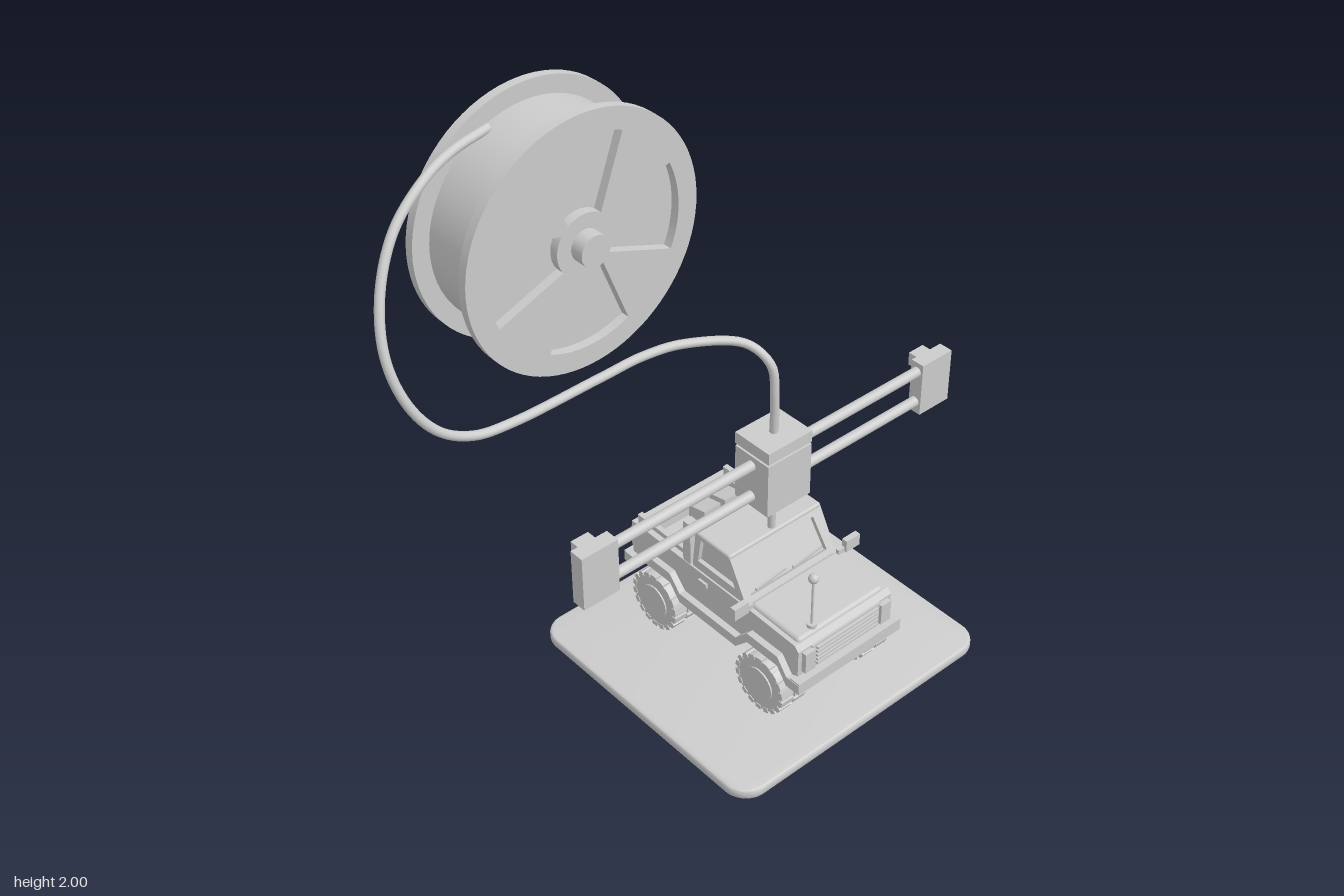
import * as THREE from 'three';
import { RoundedBoxGeometry } from 'three/addons/geometries/RoundedBoxGeometry.js';
import { toCreasedNormals } from 'three/addons/utils/BufferGeometryUtils.js';

const material = new THREE.MeshStandardMaterial({ color: 0xcccccc });
const ZC = -0.19; // centre line of the truck and print head

function add(parent, name, geometry, x = 0, y = 0, z = 0) {
  const mesh = new THREE.Mesh(geometry, material);
  mesh.name = name;
  mesh.position.set(x, y, z);
  parent.add(mesh);
  return mesh;
}

// Box given by its limits on each axis
function box(parent, name, x0, x1, y0, y1, z0, z1) {
  return add(parent, name, new THREE.BoxGeometry(x1 - x0, y1 - y0, z1 - z0),
    (x0 + x1) / 2, (y0 + y1) / 2, (z0 + z1) / 2);
}

// Cylinder along an axis
function rod(parent, name, axis, r, length, x, y, z, sides = 24, rTop = r) {
  const g = new THREE.CylinderGeometry(rTop, r, length, sides);
  if (axis === 'x') g.rotateZ(Math.PI / 2);
  if (axis === 'z') g.rotateX(Math.PI / 2);
  return add(parent, name, g, x, y, z);
}

const polygon = (points) => points.map(([x, y]) => new THREE.Vector2(x, y));

function plate(points, depth, holes = [], curveSegments = 12) {
  const shape = points instanceof THREE.Shape ? points : new THREE.Shape(polygon(points));
  shape.holes = holes.map((h) => (h instanceof THREE.Path ? h : new THREE.Path(polygon(h))));
  return new THREE.ExtrudeGeometry(shape, { depth, bevelEnabled: false, curveSegments });
}

function roundedRect(w, h, r) {
  const s = new THREE.Shape();
  s.absarc(w / 2 - r, h / 2 - r, r, 0, Math.PI / 2);
  s.absarc(r - w / 2, h / 2 - r, r, Math.PI / 2, Math.PI);
  s.absarc(r - w / 2, r - h / 2, r, Math.PI, Math.PI * 1.5);
  s.absarc(w / 2 - r, r - h / 2, r, Math.PI * 1.5, Math.PI * 2);
  return s;
}

function makeBase() {
  const g = new THREE.ExtrudeGeometry(roundedRect(0.935, 0.985, 0.07),
    { depth: 0.015, bevelSize: 0.01, bevelThickness: 0.01, bevelSegments: 3 });
  g.rotateX(-Math.PI / 2);
  const mesh = new THREE.Mesh(toCreasedNormals(g, 0.6), material);
  mesh.name = 'basePlate';
  mesh.position.set(-0.002, 0.01, -0.198);
  return mesh;
}

function makeWheel(x, side) {
  const wheel = new THREE.Group();
  wheel.name = 'wheel';
  wheel.position.set(x, 0.145, ZC + side * 0.173);
  rod(wheel, 'tyre', 'z', 0.096, 0.094, 0, 0, 0, 32);
  rod(wheel, 'rim', 'z', 0.057, 0.104, 0, 0, 0, 24);
  // Tread blocks, the two rows staggered
  for (let i = 0; i < 36; i++) {
    const a = (i / 36) * Math.PI * 2;
    const lug = add(wheel, 'treadBlock', new THREE.BoxGeometry(0.016, 0.021, 0.047),
      Math.cos(a) * 0.094, Math.sin(a) * 0.094, i % 2 ? 0.026 : -0.026);
    lug.rotation.z = a;
  }
  return wheel;
}

function makeTruck() {
  const truck = new THREE.Group();
  truck.name = 'pickupTruck';
  truck.position.z = ZC;
  const W = 0.19; // half width

  // Lower body with angular wheel arches
  const sill = [[-0.39, 0.21], [-0.335, 0.21], [-0.3, 0.262], [-0.175, 0.262], [-0.13, 0.21],
    [0.125, 0.21], [0.175, 0.262], [0.305, 0.262], [0.345, 0.21], [0.395, 0.21]];
  const inner = sill.map(([x, y]) => [Math.max(-0.375, Math.min(0.37, x)), y + 0.01]);
  add(truck, 'lowerBody', plate([...inner, [0.37, 0.295], [-0.375, 0.295]], 2 * W), 0, 0, -W);
  add(truck, 'hoodAndDoors', plate([[-0.1, 0.29], [0.37, 0.29], [0.37, 0.345], [0.355, 0.362],
    [0.14, 0.368], [-0.1, 0.368]], 2 * W), 0, 0, -W);
  const hood = add(truck, 'hoodPanel', new RoundedBoxGeometry(0.21, 0.03, 0.35, 3, 0.014), 0.25, 0.362, 0);
  hood.rotation.z = -0.02;
  const band = [...sill, ...sill.slice().reverse().map(([x, y]) => [x, y + 0.035])];
  for (const s of [-1, 1]) {
    add(truck, 'fenderTrim', plate(band, 0.025), 0, 0, s > 0 ? W - 0.003 : -W - 0.022);
    // Bed sides, rails and details repeated on both flanks
    const z = s * (W - 0.014);
    box(truck, 'bedSide', -0.375, -0.1, 0.29, 0.368, z - 0.014, z + 0.014);
    box(truck, 'bedRail', -0.355, -0.12, 0.388, 0.405, z - 0.009, z + 0.009);
    for (const x of [-0.345, -0.13]) box(truck, 'railPost', x - 0.008, x + 0.008, 0.36, 0.39, z - 0.008, z + 0.008);
    box(truck, 'rollBarPost', -0.138, -0.105, 0.36, 0.52, z - 0.012, z + 0.012);
    box(truck, 'doorHandle', -0.06, -0.024, 0.328, 0.344, s * W - 0.008, s * W + 0.008);
    box(truck, 'tailLight', -0.387, -0.37, 0.26, 0.34, s * 0.165 - 0.02, s * 0.165 + 0.02);
    box(truck, 'headlight', 0.36, 0.387, 0.265, 0.338, s * 0.155 - 0.02, s * 0.155 + 0.02);
    box(truck, 'mirrorArm', 0.15, 0.162, 0.365, 0.385, s * 0.195 - 0.02, s * 0.195 + 0.02);
    box(truck, 'mirror', 0.15, 0.17, 0.37, 0.412, s * 0.228 - 0.028, s * 0.228 + 0.028);
    for (const x of [-0.24, 0.24]) truck.add(makeWheelLocal(x, s));
  }
  box(truck, 'tailgate', -0.378, -0.345, 0.29, 0.368, -W, W);
  box(truck, 'bedFrontWall', -0.14, -0.1, 0.29, 0.368, -W, W);
  for (const x of [-0.24, 0.24]) rod(truck, 'axle', 'z', 0.018, 0.35, x, 0.145, 0, 12);
  box(truck, 'chassis', -0.36, 0.35, 0.185, 0.23, -0.08, 0.08);

  // Cab: inset core behind framed windows
  const cab = [[-0.1, 0.36], [0.142, 0.36], [0.065, 0.505], [-0.085, 0.505]];
  const sideWindow = [[-0.075, 0.4], [0.09, 0.4], [0.05, 0.488], [-0.062, 0.488]];
  add(truck, 'cabGlass', plate([[-0.085, 0.36], [0.122, 0.36], [0.05, 0.495], [-0.073, 0.495]], 0.34), 0, 0, -0.17);
  for (const s of [-1, 1]) add(truck, 'cabSide', plate(cab, 0.016, [sideWindow]), 0, 0, s > 0 ? 0.168 : -0.184);
  add(truck, 'roof', new RoundedBoxGeometry(0.16, 0.022, 0.372, 2, 0.008), -0.012, 0.5, 0);
  const frame = plate([[-0.183, 0], [0.183, 0], [0.183, 0.164], [-0.183, 0.164]], 0.015,
    [[[-0.155, 0.025], [0.155, 0.025], [0.145, 0.14], [-0.145, 0.14]]]);
  frame.translate(0, 0, -0.015);
  const shield = add(truck, 'windshieldFrame', frame);
  shield.applyMatrix4(new THREE.Matrix4().makeBasis(new THREE.Vector3(0, 0, -1),
    new THREE.Vector3(-0.469, 0.883, 0), new THREE.Vector3(0.883, 0.469, 0)).setPosition(0.142, 0.36, 0));
  const rear = add(truck, 'rearWindowFrame', frame);
  rear.applyMatrix4(new THREE.Matrix4().makeBasis(new THREE.Vector3(0, 0, 1),
    new THREE.Vector3(0.103, 0.995, 0), new THREE.Vector3(-0.995, 0.103, 0)).setPosition(-0.1, 0.345, 0));
  for (const s of [-1, 1]) {
    const wiper = box(truck, 'wiper', -0.004, 0.004, -0.004, 0.004, -0.06, 0.06);
    wiper.position.set(0.128, 0.4, s * 0.075);
    wiper.rotation.x = 0.12;
  }

  // Roll bar with four lamps that widen towards the front
  box(truck, 'rollBar', -0.138, -0.105, 0.495, 0.52, -W + 0.005, W - 0.005);
  for (let i = 0; i < 4; i++) {
    add(truck, 'roofLamp', plate([[-0.148, 0.516], [-0.078, 0.512], [-0.078, 0.572], [-0.148, 0.556]], 0.064),
      0, 0, -0.123 + i * 0.082 - 0.032);
  }

  // Nose and tail
  box(truck, 'grillePanel', 0.365, 0.377, 0.258, 0.345, -0.14, 0.14);
  for (let i = 0; i < 5; i++) box(truck, 'grilleSlat', 0.37, 0.386, 0.269 + i * 0.015, 0.277 + i * 0.015, -0.125, 0.125);
  box(truck, 'frontBumper', 0.36, 0.398, 0.208, 0.25, -0.21, 0.21);
  box(truck, 'rearBumper', -0.397, -0.36, 0.208, 0.245, -0.21, 0.21);
  rod(truck, 'exhaust', 'x', 0.017, 0.085, -0.37, 0.188, 0.09, 16);
  rod(truck, 'antenna', 'y', 0.004, 0.19, 0.335, 0.465, 0.105, 8);
  rod(truck, 'antennaFoot', 'y', 0.015, 0.014, 0.335, 0.38, 0.105, 16);
  add(truck, 'antennaBall', new THREE.SphereGeometry(0.016, 16, 12), 0.335, 0.56, 0.105);
  return truck;
}

function makeWheelLocal(x, side) {
  const wheel = makeWheel(x, side);
  wheel.position.z -= ZC;
  return wheel;
}

function makePrintHead() {
  const head = new THREE.Group();
  head.name = 'printHead';
  head.position.set(0.048, 0, ZC);
  box(head, 'headBlock', -0.07, 0.07, 0.637, 0.822, -0.085, 0.085);
  box(head, 'headNeck', -0.06, 0.06, 0.815, 0.835, -0.075, 0.075);
  box(head, 'headCap', -0.071, 0.071, 0.83, 0.87, -0.085, 0.085);
  rod(head, 'nozzle', 'y', 0.014, 0.065, 0, 0.605, 0, 24, 0.036);
  rod(head, 'extrudedStrand', 'y', 0.012, 0.09, 0, 0.54, 0, 16);
  for (const y of [0.677, 0.789]) rod(head, 'guideRail', 'z', 0.017, 1.24, 0, y, 0, 20);
  for (const s of [-1, 1]) {
    const z = s * 0.661;
    box(head, 'railEnd', -0.024, 0.024, 0.637, 0.822, z - 0.063, z + 0.063);
    box(head, 'railEndTab', -0.066, -0.02, 0.765, 0.81, z - 0.03, z + 0.03);
  }
  return head;
}

function makeSpool() {
  const spool = new THREE.Group();
  spool.name = 'spool';
  spool.position.set(-0.263, 1.626, 0.313);
  // Flange with four wedge openings
  const disc = new THREE.Shape().absarc(0, 0, 0.375, 0, Math.PI * 2);
  const holes = [0, 1, 2, 3].map((i) => {
    const a = (i * Math.PI) / 2;
    const hole = new THREE.Path();
    hole.absarc(0, 0, 0.312, a - 0.435, a + 0.435, false);
    hole.absarc(0, 0, 0.092, a + 0.62, a - 0.62, true);
    hole.closePath();
    return hole;
  });
  const flange = toCreasedNormals(plate(disc, 0.028, holes, 40).rotateY(Math.PI / 2), 0.5);
  add(spool, 'outerFlange', flange, -0.127);
  add(spool, 'innerFlange', flange, 0.099);
  rod(spool, 'filamentWinding', 'x', 0.323, 0.198, 0, 0, 0, 64);
  rod(spool, 'hub', 'x', 0.047, 0.328, 0.006, 0, 0, 32);
  return spool;
}

function makeFilament() {
  const path = [[-0.345, 1.925, 0.44], [-0.335, 1.907, 0.56], [-0.315, 1.875, 0.66], [-0.285, 1.79, 0.78],
    [-0.24, 1.66, 0.865], [-0.19, 1.52, 0.9], [-0.15, 1.385, 0.875], [-0.13, 1.28, 0.805],
    [-0.12, 1.225, 0.71], [-0.112, 1.213, 0.6], [-0.112, 1.213, 0.3], [-0.115, 1.21, 0.15],
    [-0.095, 1.2, 0.02], [-0.02, 1.165, -0.14], [0.035, 1.1, -0.185], [0.048, 1.0, ZC], [0.048, 0.86, ZC]];
  const curve = new THREE.CatmullRomCurve3(path.map((p) => new THREE.Vector3(...p)));
  const mesh = new THREE.Mesh(new THREE.TubeGeometry(curve, 120, 0.0135, 12), material);
  mesh.name = 'filament';
  return mesh;
}

export function createModel() {
  const model = new THREE.Group();
  model.name = 'printedTruckDisplay';
  model.add(makeBase(), makeTruck(), makePrintHead(), makeSpool(), makeFilament());
  return model;
}
